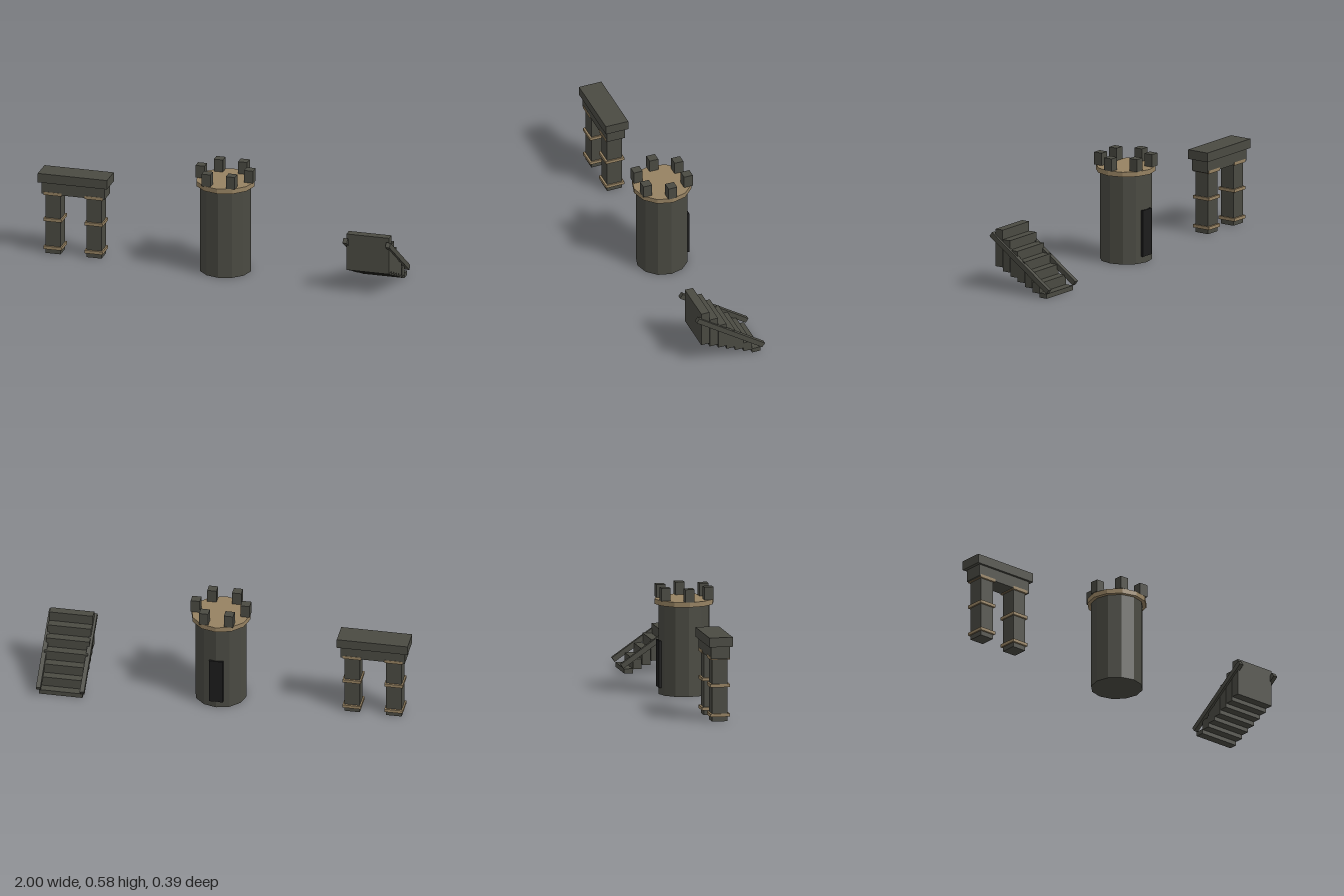
import * as THREE from 'three';

const material = (name, color) => {
  const m = new THREE.MeshStandardMaterial({ color });
  m.name = name;
  return m;
};

export function createModel() {
  const stone = material('dark stone', 0x4a4a42);
  const trim = material('tan trim', 0x968262);
  const doorDark = material('door black', 0x1c1c1c);

  const model = new THREE.Group();
  const group = (name, x, z) => {
    const g = new THREE.Group();
    g.name = name;
    g.position.set(x, 0, z);
    model.add(g);
    return g;
  };
  const add = (parent, name, geometry, mat, x, y, z) => {
    const mesh = new THREE.Mesh(geometry, mat);
    mesh.name = name;
    mesh.position.set(x, y, z);
    parent.add(mesh);
    return mesh;
  };
  const box = (parent, name, mat, w, h, d, x, y, z) =>
    add(parent, name, new THREE.BoxGeometry(w, h, d), mat, x, y, z);
  // Twelve-sided drum with flat faces
  const drum = (parent, name, mat, r, y0, y1) => {
    const g = new THREE.CylinderGeometry(r, r, y1 - y0, 12).toNonIndexed();
    g.computeVertexNormals();
    return add(parent, name, g, mat, 0, (y0 + y1) / 2, 0);
  };

  // Gateway: two banded pillars under a stepped lintel
  const gateway = group('gateway', -0.807, 0.007);
  box(gateway, 'lintelCap', stone, 0.386, 0.051, 0.129, 0, 0.4335, 0);
  box(gateway, 'lintelBeam', stone, 0.35, 0.068, 0.103, 0, 0.375, 0);
  for (const side of [-1, 1]) {
    const x = side * 0.114;
    box(gateway, 'pillar', stone, 0.084, 0.342, 0.084, x, 0.171, 0);
    for (const y of [0.034, 0.194, 0.344])
      box(gateway, 'pillarBand', trim, 0.1, 0.017, 0.106, x, y, 0);
  }

  // Tower: drum, overhanging ring, six merlons and a door at the back
  const tower = group('tower', 0.029, 0.0088);
  drum(tower, 'towerWall', stone, 0.14, 0, 0.49);
  drum(tower, 'towerRing', trim, 0.16, 0.488, 0.515);
  for (let i = 0; i < 6; i++) {
    const a = (i * Math.PI) / 3;
    box(tower, 'merlon', stone, 0.05, 0.069, 0.05,
      Math.cos(a) * 0.1355, 0.55, Math.sin(a) * 0.1355);
  }
  box(tower, 'door', doorDark, 0.076, 0.255, 0.026, 0, 0.1645, -0.131);

  // Staircase: steps grow taller and rise from the back to the front
  const stairs = group('staircase', 0.867, 0);
  for (let i = 0; i < 7; i++) {
    const bottom = 0.0215 * i, top = 0.025 + 0.0516 * i;
    box(stairs, 'step', stone, 0.237, top - bottom, 0.0468,
      0, (top + bottom) / 2, -0.151 + 0.0488 * i);
  }
  // Sloping side rails
  for (const side of [-1, 1]) {
    const rail = box(stairs, 'rail', stone, 0.024, 0.028, 0.461, side * 0.119, 0.172, 0);
    rail.rotation.x = -0.61;
  }

  return model;
}
